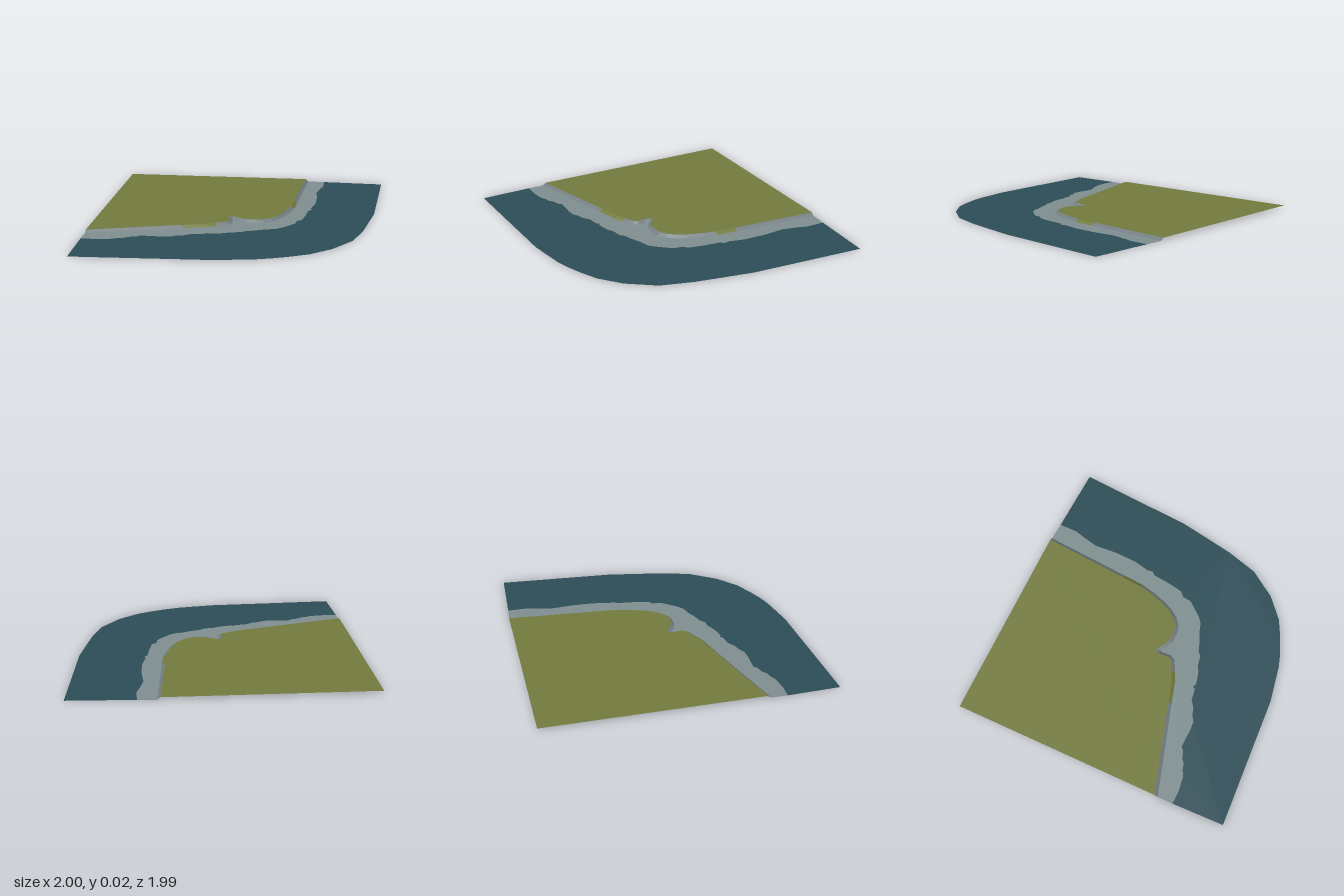
import * as THREE from 'three';

const HEIGHT = 0.017;

// Bank rows: top edge x, z, then foot edge x, z
const bank = [
  [-1, 0.485, -1, 0.51], [-0.37, 0.303, -0.365, 0.326], [-0.21, 0.257, -0.2, 0.28],
  [-0.15, 0.228, -0.14, 0.25], [-0.11, 0.21, -0.1, 0.232], [-0.08, 0.193, -0.062, 0.21],
  [-0.065, 0.17, -0.043, 0.18], [-0.065, 0.145, -0.042, 0.145], [-0.07, 0.11, -0.047, 0.115],
  [-0.066, 0.08, -0.043, 0.1], [-0.05, 0.066, -0.038, 0.095], [-0.032, 0.071, -0.03, 0.098],
  [0.0, 0.095, -0.008, 0.115], [0.055, 0.122, 0.048, 0.144], [0.12, 0.125, 0.122, 0.147],
  [0.17, 0.112, 0.18, 0.135], [0.215, 0.08, 0.23, 0.098], [0.255, 0.03, 0.274, 0.043],
  [0.285, -0.035, 0.307, -0.025], [0.32, -0.14, 0.343, -0.135], [0.342, -0.23, 0.366, -0.23],
  [0.354, -0.38, 0.377, -0.38], [0.404, -1, 0.424, -0.998],
];
// Bank segments where the grass runs down to the water
const grassySegments = [1, 2, 20];

// Ragged line between shallow and deep water
const shallowEdge = [
  [-1, 0.62], [-0.9, 0.622], [-0.8, 0.608], [-0.76, 0.587], [-0.715, 0.575], [-0.69, 0.552],
  [-0.64, 0.537], [-0.615, 0.515], [-0.48, 0.52], [-0.42, 0.516], [-0.38, 0.49], [-0.33, 0.476],
  [-0.28, 0.441], [-0.2, 0.43], [-0.185, 0.41], [-0.17, 0.422], [-0.12, 0.414], [-0.07, 0.4],
  [-0.03, 0.378], [0.04, 0.366], [0.07, 0.34], [0.13, 0.32], [0.2, 0.288], [0.27, 0.268],
  [0.31, 0.235], [0.36, 0.175], [0.395, 0.13], [0.402, 0.07], [0.435, 0.04], [0.455, -0.06],
  [0.47, -0.19], [0.492, -0.21], [0.485, -0.25], [0.51, -0.36], [0.516, -0.52], [0.505, -0.68],
  [0.53, -0.79], [0.55, -0.86], [0.55, -0.99],
];

const deepEdge = [
  [-0.99, 0.985], [-0.06, 0.945], [0.2, 0.9], [0.3, 0.87], [0.41, 0.825], [0.53, 0.765],
  [0.67, 0.645], [0.8, 0.46], [0.865, 0.24], [0.905, 0.03], [0.94, -0.16], [1, -0.97],
];

// Flat sheet from an x, z outline
function sheet(name, outline, y, material) {
  const shape = new THREE.Shape(outline.map(([x, z]) => new THREE.Vector2(x, -z)));
  const mesh = new THREE.Mesh(new THREE.ShapeGeometry(shape).rotateX(-Math.PI / 2), material);
  mesh.position.y = y;
  mesh.name = name;
  return mesh;
}

// Sloped strip between top and foot edges, for the chosen segments
function slope(name, keep, material) {
  const positions = [];
  for (let i = 0; i < bank.length - 1; i++) {
    if (!keep(i)) continue;
    const [ax, az, bx, bz] = bank[i];
    const [cx, cz, dx, dz] = bank[i + 1];
    const a = [ax, HEIGHT, az], b = [bx, 0, bz], c = [cx, HEIGHT, cz], d = [dx, 0, dz];
    positions.push(...a, ...b, ...d, ...a, ...d, ...c);
  }
  const geometry = new THREE.BufferGeometry();
  geometry.setAttribute('position', new THREE.Float32BufferAttribute(positions, 3));
  geometry.computeVertexNormals();
  const mesh = new THREE.Mesh(geometry, material);
  mesh.name = name;
  return mesh;
}

export function createModel() {
  const paint = (name, color) =>
    Object.assign(new THREE.MeshStandardMaterial({ color, side: THREE.DoubleSide }), { name });
  const grass = paint('grass', 0x737b3e);
  const stone = paint('stone', 0x747f85);
  const shallow = paint('shallowWater', 0x7f8f90);
  const deep = paint('deepWater', 0x2d4d57);

  const top = bank.map(([x, z]) => [x, z]);
  const foot = bank.map(([, , x, z]) => [x, z]);
  const isGrassy = (i) => grassySegments.includes(i);

  const group = new THREE.Group();
  group.name = 'coastTile';
  group.add(
    sheet('land', [...top, [-1, -1]], HEIGHT, grass),
    slope('stoneBank', (i) => !isGrassy(i), stone),
    slope('grassBank', isGrassy, grass),
    sheet('shallowWater', [...foot, ...[...shallowEdge].reverse()], 0, shallow),
    sheet('deepWater', [...shallowEdge, ...[...deepEdge].reverse()], 0, deep),
  );
  return group;
}
